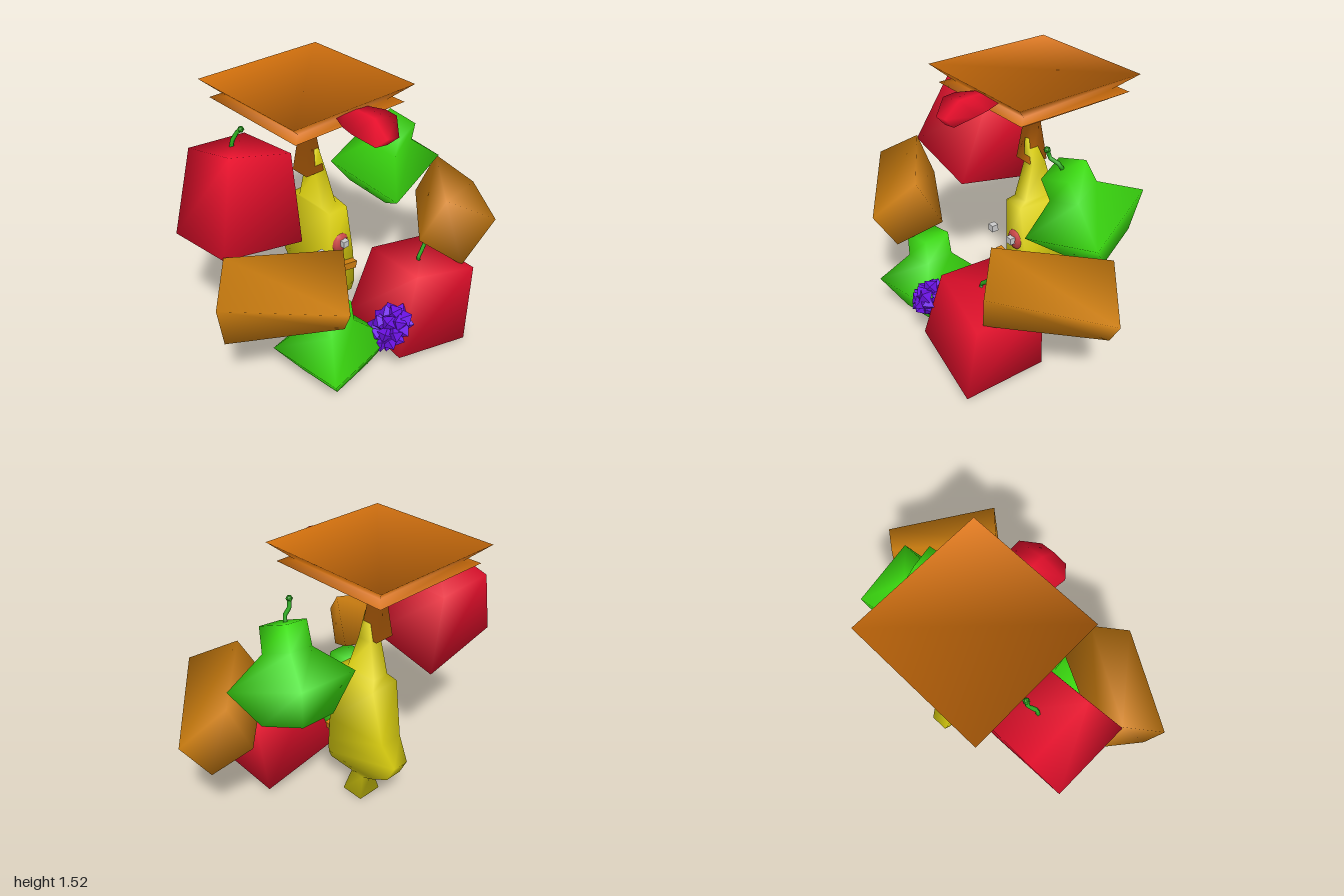
import * as THREE from 'three';

const mat = (color) => new THREE.MeshStandardMaterial({ color });
const RED = mat(0xe80f2c), GREEN = mat(0x3cdf10), STEM = mat(0x2aa51c), ORANGE = mat(0xd08010);
const BOWL = mat(0xe0780e), YELLOW = mat(0xdcd010), PURPLE = mat(0x6c12e6), PINK = mat(0xcc4848), GREY = mat(0xcccccc);

// Skin four-cornered rings into a closed solid, smooth-shaded with every face weighted alike
function loft(rings) {
  const index = [], points = rings.flat().map((p) => new THREE.Vector3(...p));
  for (let r = 0; r < rings.length - 1; r++) {
    for (let i = 0; i < 4; i++) {
      const a = r * 4 + i, b = r * 4 + (i + 1) % 4;
      index.push(a, b, b + 4, a, b + 4, a + 4);
    }
  }
  const t = (rings.length - 1) * 4;
  index.push(0, 2, 1, 0, 3, 2, t, t + 1, t + 2, t, t + 2, t + 3);
  const normals = points.map(() => new THREE.Vector3());
  for (let i = 0; i < index.length; i += 3) {
    const corners = index.slice(i, i + 3);
    const n = new THREE.Triangle(...corners.map((c) => points[c])).getNormal(new THREE.Vector3());
    corners.forEach((c) => normals[c].add(n));
  }
  const flatten = (list) => new THREE.Float32BufferAttribute(list.flatMap((p) => p.toArray()), 3);
  const g = new THREE.BufferGeometry();
  g.setAttribute('position', flatten(points));
  g.setAttribute('normal', flatten(normals.map((n) => n.normalize())));
  g.setIndex(index);
  return g;
}

// Horizontal four-cornered ring; the back edge may differ in width from the front edge
const ring = (y, x0, x1, z0, z1, back0 = x0, back1 = x1) => [[x0, y, z1], [x1, y, z1], [back1, y, z0], [back0, y, z0]];
// Square solid from a profile of [half width, height]
const squareTurned = (profile) => loft(profile.map(([h, y]) => ring(y, -h, h, -h, h)));

function add(parent, name, geometry, material, pos = [0, 0, 0], rot = [0, 0, 0]) {
  const m = new THREE.Mesh(geometry, material);
  m.name = name;
  m.position.set(...pos);
  m.rotation.set(...rot);
  parent.add(m);
  return m;
}

// Kinked stalk with a small knob at its tip
function stem(parent, name, points) {
  const path = new THREE.CurvePath();
  const v = points.map((p) => new THREE.Vector3(...p));
  for (let i = 1; i < v.length; i++) path.add(new THREE.LineCurve3(v[i - 1], v[i]));
  add(parent, name, new THREE.TubeGeometry(path, 6, 0.012, 5), STEM);
  add(parent, name + 'Tip', new THREE.IcosahedronGeometry(0.019, 0), STEM, points[points.length - 1]);
}

// Squared pear: broad belly, narrow neck
function pear(parent, name, pos, rot, size) {
  const body = squareTurned([[0.13, -0.2], [0.232, 0], [0.09, 0.16], [0.085, 0.3]]);
  add(parent, name, body, GREEN, pos, rot).scale.setScalar(size);
}

export function createModel() {
  const model = new THREE.Group();
  model.name = 'fruitArrangement';

  // Tiered square bowl on a flared stalk
  add(model, 'tieredBowl', squareTurned([
    [0.06, 1.0], [0.032, 1.235], [0.165, 1.3], [0.205, 1.325], [0.18, 1.328], [0.22, 1.333],
    [0.36, 1.42], [0.29, 1.425], [0.395, 1.52],
  ]), BOWL, [-0.068, 0, -0.215]);

  // Curling petal in front of the bowl: [half width, z, middle height, half thickness]
  add(model, 'petal', loft([[0.08, 0.05, 1.455, 0.025], [0.145, 0.2, 1.455, 0.025], [0.15, 0.27, 1.445, 0.032], [0.08, 0.36, 1.385, 0.013]]
    .map(([h, z, y, t]) => [[-0.04 - h, y, z], [-0.04, y - t, z], [-0.04 + h, y, z], [-0.04, y + t, z]])), RED);

  // Blocky apples
  add(model, 'lowerApple', loft([
    [[-0.07, 0.13, 0.54], [0.42, 0.02, 0.59], [0.45, 0.04, 0.11], [-0.03, 0.16, 0.08]],
    [[0.08, 0.59, 0.5], [0.48, 0.49, 0.56], [0.49, 0.49, 0.15], [0.1, 0.58, 0.13]],
  ]), RED);
  stem(model, 'lowerAppleStem', [[0.27, 0.5, 0.36], [0.23, 0.56, 0.36], [0.27, 0.59, 0.35], [0.31, 0.63, 0.34]]);
  add(model, 'upperApple', loft([
    [[-0.83, 0.91, 0.07], [-0.35, 0.8, 0.07], [-0.34, 0.71, -0.38], [-0.82, 0.83, -0.39]],
    [[-0.66, 1.35, -0.07], [-0.3, 1.25, -0.06], [-0.31, 1.22, -0.45], [-0.65, 1.245, -0.46]],
  ]), RED);
  stem(model, 'upperAppleStem', [[-0.53, 1.25, -0.26], [-0.51, 1.32, -0.26], [-0.47, 1.34, -0.28], [-0.45, 1.355, -0.27]]);

  // Pears
  pear(model, 'upperPear', [0.455, 0.91, -0.14], [0.33, 0.28, 0.16], 1);
  stem(model, 'upperPearStem', [[0.4, 1.17, -0.04], [0.39, 1.21, -0.02], [0.34, 1.23, 0], [0.33, 1.275, 0.01]]);
  pear(model, 'lowerPear', [-0.345, 0.25, 0.3], [0, 0.12, 0.1], 0.98);

  // Long oranges, lying as rolled blocks (top, outer, bottom, inner corners)
  add(model, 'leftOrange', loft([
    [[0.39, 0.89, 0.4], [0.59, 0.78, 0.59], [0.45, 0.49, 0.5], [0.27, 0.65, 0.33]],
    [[0.79, 0.85, -0.04], [1.0, 0.64, 0.1], [0.87, 0.44, 0.03], [0.7, 0.6, -0.11]],
  ]), ORANGE);
  add(model, 'rightOrange', loft([
    [[-0.83, 0.93, 0.07], [-1.0, 0.8, 0.24], [-0.95, 0.54, 0.2], [-0.8, 0.66, -0.02]],
    [[-0.34, 0.91, 0.38], [-0.48, 0.7, 0.59], [-0.42, 0.51, 0.48], [-0.29, 0.64, 0.25]],
  ]), ORANGE);

  // Upright banana with a pinched foot, narrowed back and slim tip
  add(model, 'banana', loft([
    ring(0, -0.055, 0.095, -0.28, -0.14), ring(0.13, -0.02, 0.06, -0.26, -0.17),
    ring(0.18, -0.06, 0.1, -0.36, -0.04, -0.03, 0.07), ring(0.23, -0.07, 0.12, -0.45, -0.04, -0.04, 0.06),
    ring(0.32, -0.07, 0.12, -0.49, -0.04, -0.05, 0.05), ring(0.46, -0.07, 0.11, -0.42, -0.04, -0.06, 0.08),
    ring(0.79, -0.07, 0.06, -0.37, -0.04, -0.07, 0.11), ring(0.8, -0.07, 0.03, -0.3, -0.1),
    ring(1.0, -0.065, 0.01, -0.25, -0.16), ring(1.14, -0.06, -0.035, -0.2, -0.16),
  ]), YELLOW);

  // Face pieces
  const cheek = add(model, 'cheek', new THREE.SphereGeometry(0.062, 8, 6), PINK, [0.01, 0.565, -0.045]);
  cheek.scale.z = 0.5;
  for (const x of [-0.155, 0.015]) add(model, 'eye', new THREE.BoxGeometry(0.04, 0.04, 0.04), GREY, [x, 0.575, -0.01]);
  add(model, 'mouth', new THREE.BoxGeometry(0.23, 0.045, 0.04), ORANGE, [-0.01, 0.41, -0.02], [0, 0, -0.2]);

  // Bunch of grapes spiralling along a leaning axis
  const grapes = new THREE.Group();
  grapes.name = 'grapes';
  grapes.position.set(-0.09, 0.33, 0.475);
  grapes.rotation.set(0.3, 0, -0.7);
  const count = 28;
  for (let i = 0; i < count; i++) {
    const t = i / (count - 1), a = i * 2.4, r = 0.02 + 0.055 * Math.sin(Math.PI * (0.15 + 0.7 * t));
    add(grapes, 'grape', new THREE.OctahedronGeometry(0.048, 0), PURPLE,
      [Math.cos(a) * r * 0.75, (t - 0.5) * 0.2, Math.sin(a) * r], [a, i, 0]);
  }
  model.add(grapes);

  return model;
}
